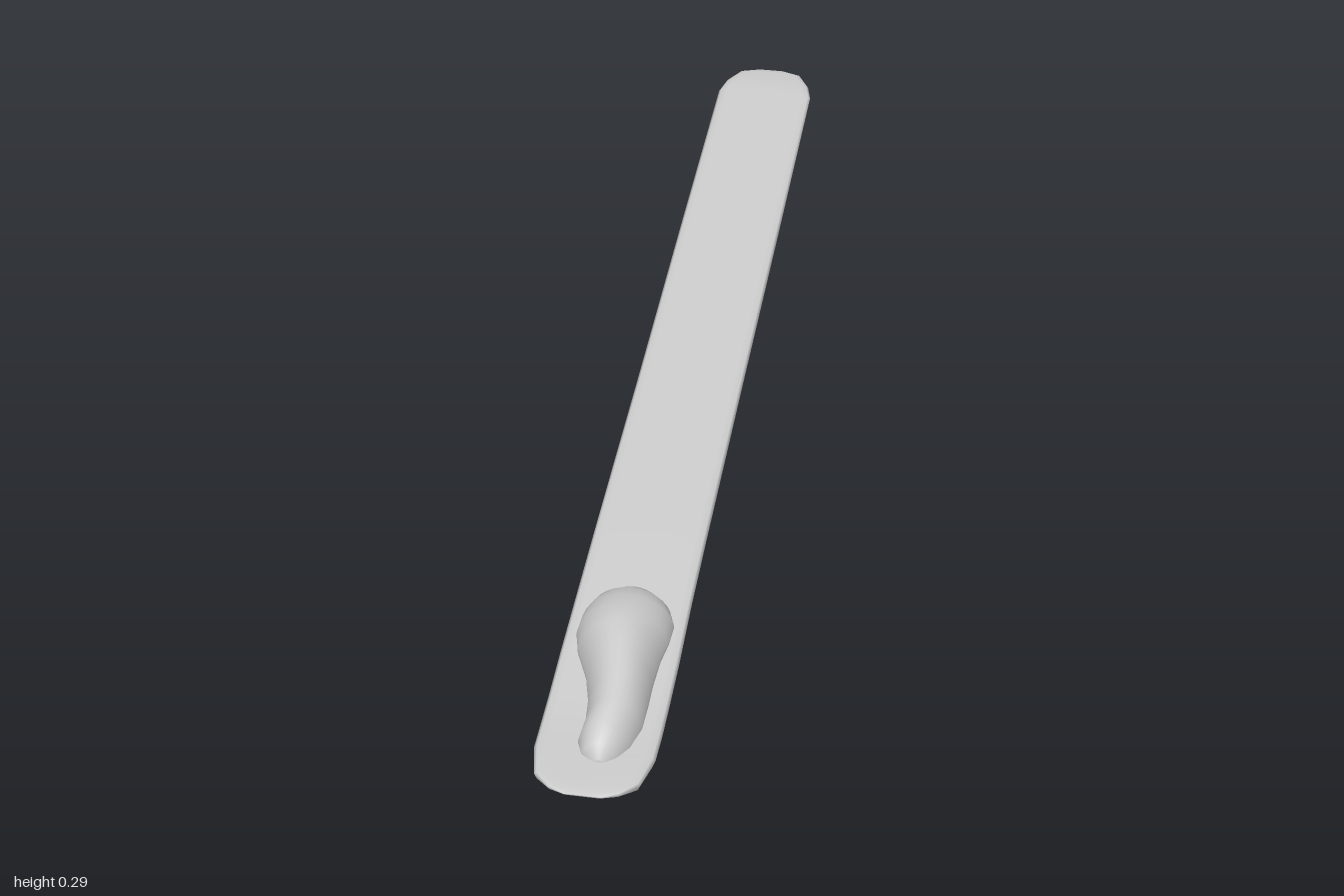
import * as THREE from 'three';

const material = new THREE.MeshStandardMaterial({ color: 0xcccccc });

// Closed skin over equal-sized rings of [x, y, z], counterclockwise seen from +z.
function loft(rings) {
  const n = rings[0].length, last = rings.length - 1;
  const pos = rings.flat(2), index = [];
  for (let i = 0; i < last; i++) {
    for (let j = 0; j < n; j++) {
      const k = (j + 1) % n;
      const a = i * n + j, b = i * n + k, c = b + n, d = a + n;
      index.push(a, b, c, a, c, d);
    }
  }
  // End caps fan from the centre of each end ring
  for (const end of [0, last]) {
    const centre = pos.length / 3;
    for (let axis = 0; axis < 3; axis++) {
      pos.push(rings[end].reduce((sum, p) => sum + p[axis], 0) / n);
    }
    for (let j = 0; j < n; j++) {
      const a = end * n + j, b = end * n + (j + 1) % n;
      if (end === 0) index.push(centre, b, a);
      else index.push(centre, a, b);
    }
  }
  const geometry = new THREE.BufferGeometry();
  geometry.setAttribute('position', new THREE.Float32BufferAttribute(pos, 3));
  geometry.setIndex(index);
  geometry.computeVertexNormals();
  return geometry;
}

// Flat blade with bevelled long edges, dipping and curling up at the front
function createBlade() {
  const section = [
    [1, 0], [0.95, 0.65], [0.82, 1], [0.4, 1], [-0.4, 1], [-0.82, 1], [-0.95, 0.65],
    [-1, 0], [-0.95, -0.65], [-0.82, -1], [-0.4, -1], [0.4, -1], [0.82, -1], [0.95, -0.65],
  ];
  // [along, half width, middle height, thickness above, thickness below]
  const stations = [
    [-1.29, 0.035, 0.293, 0.002, 0.002],
    [-1.27, 0.08, 0.293, 0.006, 0.005],
    [-1.22, 0.108, 0.291, 0.009, 0.008],
    [-1.17, 0.12, 0.288, 0.01, 0.01],
    [-0.6, 0.122, 0.227, 0.01, 0.01],
    [0, 0.123, 0.162, 0.01, 0.01],
    [0.5, 0.125, 0.109, 0.01, 0.01],
    [0.7, 0.126, 0.085, 0.01, 0.011],
    [0.87, 0.128, 0.059, 0.01, 0.015],
    [1.0, 0.128, 0.041, 0.01, 0.023],
    [1.08, 0.128, 0.034, 0.01, 0.027],
    [1.15, 0.127, 0.032, 0.01, 0.026],
    [1.23, 0.11, 0.033, 0.008, 0.019],
    [1.265, 0.075, 0.034, 0.005, 0.008],
    [1.28, 0.04, 0.034, 0.002, 0.002],
  ];
  const rings = stations.map(([s, half, y, above, below]) =>
    section.map(([w, h]) => [w * half, y + h * (h > 0 ? above : below), s]));
  return loft(rings);
}

// Lopsided foot bump: wide and tall behind, narrow and low at the toe
function createBump() {
  // [along, right edge, left edge, base height, top height]
  const stations = [
    [0.694, -0.02, 0.025, 0.08, 0.1],
    [0.712, -0.055, 0.06, 0.078, 0.128],
    [0.74, -0.085, 0.088, 0.074, 0.147],
    [0.78, -0.1, 0.103, 0.068, 0.161],
    [0.83, -0.103, 0.1, 0.06, 0.169],
    [0.88, -0.09, 0.091, 0.052, 0.17],
    [0.95, -0.058, 0.087, 0.042, 0.156],
    [1.01, -0.042, 0.087, 0.036, 0.136],
    [1.07, -0.036, 0.086, 0.03, 0.121],
    [1.13, -0.04, 0.071, 0.028, 0.103],
    [1.165, -0.026, 0.05, 0.028, 0.077],
    [1.183, 0, 0.028, 0.028, 0.05],
  ];
  const steps = 14;
  const rings = stations.map(([s, right, left, base, top]) => {
    const ring = [];
    for (let i = 0; i <= steps; i++) {
      const a = Math.PI * i / steps;
      ring.push([
        (left + right) / 2 + Math.cos(a) * (left - right) / 2,
        base + Math.sin(a) * (top - base),
        s,
      ]);
    }
    return ring;
  });
  return loft(rings);
}

export function createModel() {
  const model = new THREE.Group();
  model.name = 'board';
  const parts = { blade: createBlade(), footBump: createBump() };
  for (const [name, geometry] of Object.entries(parts)) {
    const mesh = new THREE.Mesh(geometry, material);
    mesh.name = name;
    model.add(mesh);
  }
  // The board lies diagonally across the ground
  model.rotation.y = 0.7315;
  return model;
}
